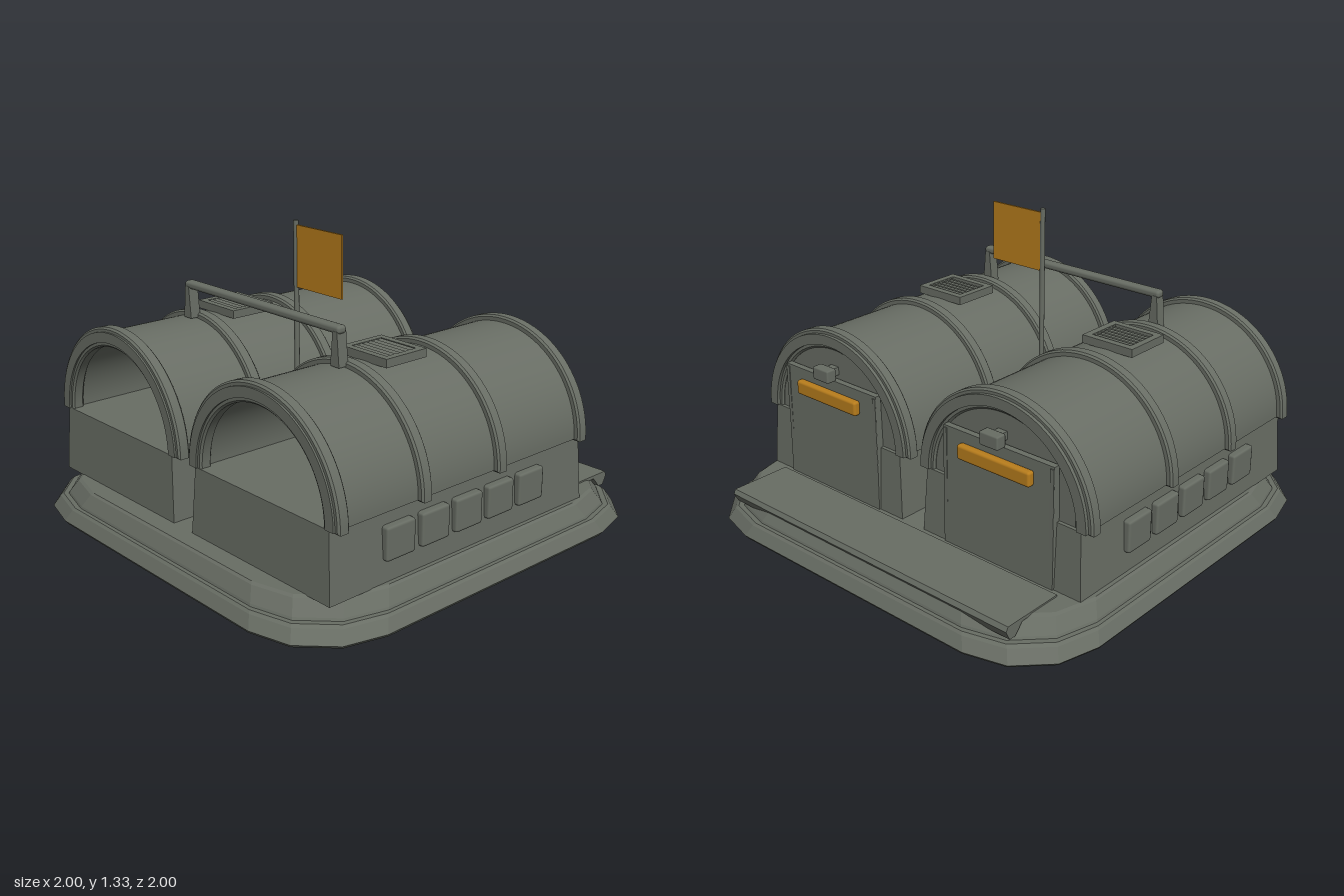
import * as THREE from 'three';
import { toCreasedNormals } from 'three/addons/utils/BufferGeometryUtils.js';
import { RoundedBoxGeometry } from 'three/addons/geometries/RoundedBoxGeometry.js';

export function createModel() {
  const model = new THREE.Group();
  model.name = 'twinHangars';
  const grey = new THREE.MeshStandardMaterial({ color: 0x686d64 });
  grey.name = 'grey green';
  const orange = new THREE.MeshStandardMaterial({ color: 0xb87d1c });
  orange.name = 'orange';

  function add(parent, name, geometry, x = 0, y = 0, z = 0, material = grey) {
    const mesh = new THREE.Mesh(geometry, material);
    mesh.name = name;
    mesh.position.set(x, y, z);
    parent.add(mesh);
    return mesh;
  }
  const box = (w, h, d) => new THREE.BoxGeometry(w, h, d);

  // Box whose top is scaled against its bottom
  function taperedBox(w, h, d, topX, topZ) {
    const g = box(w, h, d).toNonIndexed();
    const p = g.attributes.position;
    for (let i = 0; i < p.count; i++) {
      if (p.getY(i) > 0) {
        p.setX(i, p.getX(i) * topX);
        p.setZ(i, p.getZ(i) * topZ);
      }
    }
    g.computeVertexNormals();
    return g;
  }

  // Closed stack of faceted rounded squares, from [half size, height] rings
  function roundedStack(rings) {
    const pos = [];
    const outline = (h) => {
      const pts = [];
      for (let c = 0; c < 4; c++) {
        for (let s = 0; s < 4; s++) {
          const a = c * Math.PI / 2 + s * Math.PI / 6, q = h - 0.36;
          const sx = c === 0 || c === 3 ? 1 : -1, sz = c < 2 ? 1 : -1;
          pts.push([sx * q + 0.36 * Math.cos(a), sz * q + 0.36 * Math.sin(a)]);
        }
      }
      return pts;
    };
    const loops = rings.map(([h, y]) => outline(h).map(([x, z]) => [x, y, z]));
    const n = 16, last = loops.length - 1;
    for (let i = 0; i < n; i++) {
      const j = (i + 1) % n;
      for (let k = 0; k < last; k++) {
        const a = loops[k][i], b = loops[k][j], c = loops[k + 1][j], d = loops[k + 1][i];
        pos.push(...a, ...d, ...c, ...a, ...c, ...b);
      }
      pos.push(0, rings[0][1], 0, ...loops[0][i], ...loops[0][j]);
      pos.push(0, rings[last][1], 0, ...loops[last][j], ...loops[last][i]);
    }
    const g = new THREE.BufferGeometry();
    g.setAttribute('position', new THREE.Float32BufferAttribute(pos, 3));
    g.computeVertexNormals();
    return g;
  }

  // Half ring swept along z between two positions
  function arch(outer, inner, z0, z1, bevel = 0) {
    const R = outer - bevel, r = inner + bevel;
    const s = new THREE.Shape();
    s.absarc(0, 0, R, 0, Math.PI, false);
    s.absarc(0, 0, r, Math.PI, 0, true);
    s.closePath();
    const g = new THREE.ExtrudeGeometry(s, {
      depth: z1 - z0 - 2 * bevel, curveSegments: 28, bevelEnabled: bevel > 0,
      bevelSize: bevel, bevelThickness: bevel, bevelSegments: 1,
    });
    g.translate(0, 0, z0 + bevel);
    return toCreasedNormals(g, 0.5);
  }

  // Stepped base
  add(model, 'lowerBase', roundedStack([[0.99, 0], [1, 0.015], [0.975, 0.065], [0.965, 0.075]]));
  add(model, 'upperBase', roundedStack([[0.95, 0.07], [0.945, 0.085], [0.915, 0.14], [0.905, 0.148]]));

  // Rear apron with a lip hooked over the base edge
  const lip = new THREE.Shape([[0.64, 0.14], [0.84, 0.14], [0.88, 0.095], [0.91, 0.095],
    [0.93, 0.135], [0.92, 0.155], [0.64, 0.155]].map(([x, y]) => new THREE.Vector2(x, y)));
  const apron = new THREE.ExtrudeGeometry(lip, { depth: 1.59, bevelEnabled: false });
  apron.translate(0, 0, -0.795);
  add(model, 'rearApron', apron).rotation.y = Math.PI / 2;

  for (const side of [-1, 1]) {
    const hangar = new THREE.Group();
    hangar.name = side > 0 ? 'leftHangar' : 'rightHangar';
    hangar.position.x = side * 0.475;
    model.add(hangar);

    // Sloped foundation, barrel roof and ribs
    add(hangar, 'foundation', taperedBox(0.825, 0.29, 1.44, 0.957, 0.98), 0, 0.29, 0.105);
    add(hangar, 'barrelRoof', arch(0.42, 0.38, -0.59, 0.8), 0, 0.435, 0);
    for (const [z, inner] of [[0.755, 0.36], [0.335, 0.385], [-0.09, 0.385], [-0.595, 0.36]]) {
      add(hangar, 'roofRib', arch(0.445, inner, z, z + 0.055, 0.008), 0, 0.435, 0);
    }
    add(hangar, 'frontArchTrim', arch(0.425, 0.38, 0.8, 0.818), 0, 0.435, 0);
    add(hangar, 'rearArchTrim', arch(0.425, 0.38, -0.61, -0.59), 0, 0.435, 0);

    // Rear wall, door, light bar and lamp
    const wall = new THREE.CircleGeometry(0.385, 32, 0, Math.PI);
    add(hangar, 'rearWall', wall, 0, 0.435, -0.585).rotation.y = Math.PI;
    add(hangar, 'door', taperedBox(0.565, 0.52, 0.04, 0.995, 0.7), 0, 0.41, -0.604);
    for (const x of [-0.272, 0.272]) {
      add(hangar, 'doorPost', box(0.018, 0.36, 0.02), x, 0.48, -0.612);
    }
    add(hangar, 'doorLightBar', new RoundedBoxGeometry(0.37, 0.065, 0.035, 2, 0.012), 0, 0.593, -0.633, orange);
    add(hangar, 'lampArm', box(0.045, 0.035, 0.05), 0, 0.705, -0.605);
    add(hangar, 'lamp', new RoundedBoxGeometry(0.095, 0.058, 0.05, 1, 0.008), 0, 0.705, -0.645);

    // Outer side panels
    for (let i = 0; i < 5; i++) {
      const panel = new RoundedBoxGeometry(0.05, 0.14, 0.15, 1, 0.012);
      add(hangar, 'sidePanel', panel, side * 0.405, 0.305, 0.48 - i * 0.186);
    }

    // Roof vent: frame and slats
    const vent = new THREE.Group();
    vent.name = 'roofVent';
    vent.position.set(0, 0.872, 0.165);
    hangar.add(vent);
    add(vent, 'ventPlate', box(0.255, 0.024, 0.22), 0, -0.008, 0);
    for (const s of [-1, 1]) {
      add(vent, 'ventFrameSide', box(0.03, 0.032, 0.22), s * 0.1125, 0, 0);
      add(vent, 'ventFrameEnd', box(0.255, 0.032, 0.03), 0, 0, s * 0.095);
    }
    for (let i = 0; i < 6; i++) {
      add(vent, 'ventSlat', box(0.195, 0.006, 0.022), 0, 0.008, -0.066 + i * 0.0265).rotation.x = 0.45;
    }

    // Post carrying the cross bar
    add(model, 'crossBarPost', taperedBox(0.05, 0.14, 0.048, 0.5, 1), side * 0.475, 0.93, 0.403);
  }

  // Cross bar between the roofs
  add(model, 'crossBar', new RoundedBoxGeometry(0.99, 0.034, 0.046, 2, 0.014), 0, 1.006, 0.403);

  // Flag pole and flag
  add(model, 'flagPole', new THREE.CylinderGeometry(0.011, 0.012, 1.19, 10), 0, 0.735, 0.21);
  add(model, 'flag', box(0.27, 0.262, 0.009), 0.145, 1.181, 0.21, orange);

  return model;
}
